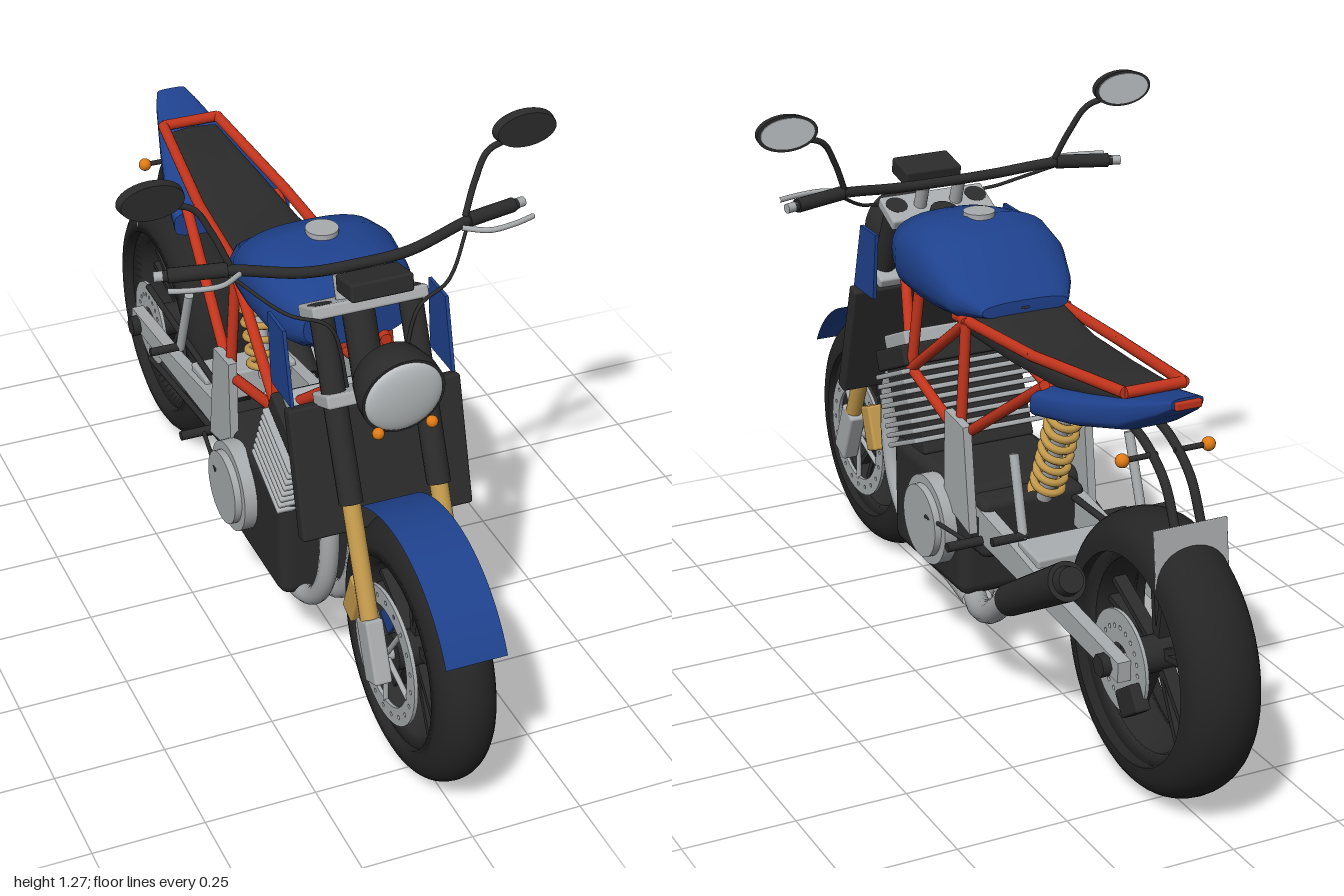
import * as THREE from 'three';
import { toCreasedNormals } from 'three/addons/utils/BufferGeometryUtils.js';
import { RoundedBoxGeometry } from 'three/addons/geometries/RoundedBoxGeometry.js';

const mat = (name, color, side = THREE.FrontSide) => {
  const m = new THREE.MeshStandardMaterial({ color, side });
  m.name = name;
  return m;
};
const V = (x, y, z) => new THREE.Vector3(x, y, z);

export function createModel() {
  const bike = new THREE.Group();
  bike.name = 'motorcycle';
  const black = mat('black', 0x2b2b2b), rubber = mat('rubber', 0x252525), blue = mat('blue paint', 0x1f428e, THREE.DoubleSide);
  const red = mat('red frame', 0xc2341c), grey = mat('light metal', 0xa9acae), gold = mat('gold', 0xc39a4c);
  const orange = mat('orange', 0xe07a14), lens = mat('lens', 0xc2c6c8);

  const add = (name, geo, m, x = 0, y = 0, z = 0, rx = 0, ry = 0, rz = 0, parent = bike) => {
    const mesh = new THREE.Mesh(geo, m);
    mesh.name = name;
    mesh.position.set(x, y, z);
    mesh.rotation.set(rx, ry, rz);
    parent.add(mesh);
    return mesh;
  };
  const box = (name, m, w, h, d, x, y, z, rx = 0, r = 0.006) =>
    add(name, new RoundedBoxGeometry(w, h, d, 2, Math.min(r, w / 3, h / 3, d / 3)), m, x, y, z, rx);
  // Straight rod between two points
  const rod = (name, m, a, b, r, r2 = r, n = 16) => {
    const mesh = add(name, new THREE.CylinderGeometry(r2, r, a.distanceTo(b), n), m);
    mesh.position.copy(a).add(b).multiplyScalar(0.5);
    mesh.quaternion.setFromUnitVectors(V(0, 1, 0), b.clone().sub(a).normalize());
    return mesh;
  };
  // Bent pipe through points
  const pipe = (name, m, pts, r, n = 40) =>
    add(name, new THREE.TubeGeometry(new THREE.CatmullRomCurve3(pts.map(p => V(...p))), n, r, 12), m);
  // Disc or drum whose axis runs along x
  const disc = (name, m, r, w, x, y, z, n = 40) =>
    add(name, new THREE.CylinderGeometry(r, r, w, n), m, x, y, z, 0, 0, Math.PI / 2);
  // Body lofted front to back from sections [z, half width, bottom, top]
  const loft = (name, m, sections, power, crease = 0.6) => {
    const n = 32, pos = [], idx = [];
    const soft = (v) => Math.sign(v) * Math.abs(v) ** power;
    for (const [z, w, y0, y1] of sections) for (let j = 0; j < n; j++) {
      const a = j / n * Math.PI * 2;
      pos.push(w * soft(Math.cos(a)), (y0 + y1) / 2 + (y1 - y0) / 2 * soft(Math.sin(a)), z);
    }
    for (let i = 0; i < sections.length - 1; i++) for (let j = 0; j < n; j++) {
      const a = i * n + j, b = i * n + (j + 1) % n;
      idx.push(a, a + n, b, b, a + n, b + n);
    }
    const g = new THREE.BufferGeometry();
    g.setAttribute('position', new THREE.Float32BufferAttribute(pos, 3));
    g.setIndex(idx);
    return add(name, toCreasedNormals(g, crease), m);
  };
  const sides = (fn) => [1, -1].forEach(fn);
  // Flat plate in the side plane from [z, y] points, centred on x
  const sidePlate = (name, m, pts, t, x) => {
    const s = new THREE.Shape(pts.map(([z, y]) => new THREE.Vector2(-z, y)));
    return add(name, new THREE.ExtrudeGeometry(s, { depth: t, bevelEnabled: false }), m, x - t / 2, 0, 0, 0, Math.PI / 2);
  };
  const brakeDisc = (name, R, r, x, y, z) => {
    const s = new THREE.Shape().absarc(0, 0, R, 0, Math.PI * 2);
    s.holes.push(new THREE.Path().absarc(0, 0, r, 0, Math.PI * 2));
    for (let k = 0; k < 20; k++) {
      const a = k / 20 * Math.PI * 2, c = (R + r) / 2;
      s.holes.push(new THREE.Path().absarc(c * Math.cos(a), c * Math.sin(a), 0.005, 0, Math.PI * 2));
    }
    add(name, new THREE.ExtrudeGeometry(s, { depth: 0.008, bevelEnabled: false, curveSegments: 20 }), grey, x - 0.004, y, z, 0, Math.PI / 2);
  };

  // Wheels
  const wheel = (name, R, w, y, z) => {
    const g = new THREE.Group();
    g.name = name;
    g.position.set(0, y, z);
    bike.add(g);
    const tyre = [], h = w / 2, depth = 0.08;
    for (let i = 0; i <= 16; i++) {
      const a = -Math.PI / 2 + i / 16 * Math.PI;
      tyre.push(new THREE.Vector2(R - depth + depth * Math.cos(a) ** 0.8, h * Math.sin(a)));
    }
    tyre.push(new THREE.Vector2(R - depth, -h));
    add('tyre', new THREE.LatheGeometry(tyre, 64), rubber, 0, 0, 0, 0, 0, Math.PI / 2, g);
    const ri = R - 0.1, ro = R - 0.07, q = h * 0.85;
    const rim = [[ri, -q * 0.6], [ro, -q], [ro, q], [ri, q * 0.6], [ri, -q * 0.6]].map(p => new THREE.Vector2(...p)).reverse();
    add('rim', new THREE.LatheGeometry(rim, 64), mats.rim, 0, 0, 0, 0, 0, Math.PI / 2, g);
    add('hub', new THREE.CylinderGeometry(0.04, 0.04, w * 0.9, 24), black, 0, 0, 0, 0, 0, Math.PI / 2, g);
    for (let k = 0; k < 5; k++) for (const s of [-0.13, 0.13]) {
      const a = k / 5 * Math.PI * 2 + s, mid = (ri + 0.04) / 2;
      add('spoke', new THREE.BoxGeometry(0.03, ri - 0.015, 0.014), black, 0, mid * Math.cos(a), mid * Math.sin(a), a, 0, 0, g);
    }
  };
  const mats = { rim: mat('rim black', 0x2b2b2b, THREE.DoubleSide) };
  wheel('frontWheel', 0.29, 0.135, 0.295, 0.71);
  wheel('rearWheel', 0.308, 0.172, 0.312, -0.692);

  // Front fork; forkZ follows the steering angle
  const forkZ = (y) => 0.71 - 0.456 * (y - 0.3), rake = -0.428;
  sides(s => {
    const p = (y) => V(s * 0.1, y, forkZ(y));
    rod('forkSlider', gold, p(0.34), p(0.61), 0.02);
    rod('forkTube', black, p(0.6), p(0.985), 0.026);
    box('forkFoot', grey, 0.04, 0.14, 0.06, s * 0.1, 0.31, 0.705, rake);
    brakeDisc('frontBrakeDisc', 0.155, 0.115, s * 0.075, 0.295, 0.71);
    box('frontCaliper', gold, 0.04, 0.11, 0.05, s * 0.085, 0.36, 0.585, 0.35);
    box('fenderBracket', blue, 0.012, 0.07, 0.05, s * 0.072, 0.4, 0.72, 0.6);
    for (let k = 0; k < 5; k++) {
      const a = k / 5 * Math.PI * 2 + 0.6;
      rod('discArm', grey, V(s * 0.075, 0.295, 0.71), V(s * 0.075, 0.295 + 0.12 * Math.cos(a), 0.71 + 0.12 * Math.sin(a)), 0.006);
    }
    rod('handlebarRiser', grey, V(s * 0.045, 0.95, 0.4), V(s * 0.045, 1.03, 0.37), 0.015);
    pipe('cable', black, [[s * 0.27, 1.05, 0.32], [s * 0.18, 0.99, 0.42], [s * 0.1, 0.96, 0.45], [s * 0.06, 0.8, 0.46]], 0.004);
  });
  rod('frontAxle', grey, V(-0.11, 0.295, 0.71), V(0.11, 0.295, 0.71), 0.015);
  box('upperClamp', grey, 0.26, 0.028, 0.09, 0, 0.968, 0.395, rake);
  box('lowerClamp', grey, 0.26, 0.03, 0.09, 0, 0.8, 0.475, rake);
  rod('steeringHead', black, V(0, 0.77, 0.44), V(0, 0.97, 0.35), 0.035);

  // Front fender, an open arched sheet
  add('frontFender', new THREE.CylinderGeometry(0.316, 0.316, 0.137, 40, 1, true, -0.45, 1.5), blue, 0, 0.295, 0.71, Math.PI / 3 - Math.PI / 2 - 0.28, 0, 0)
    .rotation.set(0, 0, Math.PI / 2);
  const fender = bike.children[bike.children.length - 1];
  fender.geometry.dispose();
  // In this pose the cylinder angle runs from +z, and -x of the cylinder points down
  fender.geometry = new THREE.CylinderGeometry(0.316, 0.316, 0.137, 40, 1, true, 0.52, 1.6);

  // Headlight and front indicators
  const lamp = new THREE.Group();
  lamp.name = 'headlight';
  lamp.position.set(0, 0.865, 0.555);
  lamp.rotation.x = 0.12;
  bike.add(lamp);
  const shell = [[0, -0.06], [0.05, -0.055], [0.08, -0.03], [0.092, 0.02], [0.092, 0.05], [0, 0.05]].map(p => new THREE.Vector2(...p));
  add('lampShell', toCreasedNormals(new THREE.LatheGeometry(shell, 40), 0.7), black, 0, 0, 0, Math.PI / 2, 0, 0, lamp);
  const dome = add('lampLens', new THREE.SphereGeometry(0.086, 40, 10, 0, Math.PI * 2, 0, Math.PI / 2), lens, 0, 0, 0.05, Math.PI / 2, 0, 0, lamp);
  dome.scale.y = 0.2;
  sides(s => add('frontIndicator', new THREE.SphereGeometry(0.013, 16, 12), orange, s * 0.06, 0.79, 0.615));
  box('instrument', black, 0.14, 0.04, 0.085, 0, 1.043, 0.45, -0.2);

  // Handlebar, levers and mirrors
  pipe('handlebar', black, [[-0.4, 1.055, 0.285], [-0.28, 1.06, 0.315], [-0.12, 1.04, 0.355], [0, 1.037, 0.36], [0.12, 1.04, 0.355], [0.28, 1.06, 0.315], [0.4, 1.055, 0.285]], 0.012);
  sides(s => {
    rod('grip', black, V(s * 0.27, 1.06, 0.317), V(s * 0.39, 1.056, 0.287), 0.016);
    rod('barEnd', grey, V(s * 0.39, 1.056, 0.287), V(s * 0.418, 1.055, 0.28), 0.011);
    pipe('lever', grey, [[s * 0.25, 1.055, 0.335], [s * 0.3, 1.055, 0.365], [s * 0.36, 1.055, 0.36], [s * 0.41, 1.055, 0.345]], 0.006);
    pipe('mirrorStem', black, [[s * 0.265, 1.07, 0.315], [s * 0.295, 1.14, 0.295], [s * 0.33, 1.195, 0.28], [s * 0.4, 1.215, 0.275]], 0.007);
    add('mirrorBody', new THREE.CylinderGeometry(0.068, 0.072, 0.022, 40), black, s * 0.416, 1.23, 0.277, Math.PI / 2).scale.z = 0.57;
    add('mirrorGlass', new THREE.CylinderGeometry(0.064, 0.064, 0.004, 40), lens, s * 0.416, 1.23, 0.265, Math.PI / 2).scale.z = 0.55;
  });

  // Tank, shrouds, seat and tail
  loft('tank', blue, [[0.362, 0.01, 0.9, 0.91], [0.36, 0.12, 0.85, 0.955], [0.33, 0.145, 0.83, 0.985], [0.26, 0.168, 0.812, 1.0], [0.16, 0.176, 0.81, 1.017],
    [0.08, 0.17, 0.815, 0.995], [0.01, 0.15, 0.825, 0.935], [-0.05, 0.115, 0.845, 0.9], [-0.062, 0.105, 0.85, 0.885], [-0.063, 0.01, 0.865, 0.87]], 0.75);
  add('fuelCap', new THREE.CylinderGeometry(0.036, 0.036, 0.012, 32), grey, 0, 1.017, 0.17);
  sides(s => sidePlate('shroud', blue, [[0.41, 0.945], [0.325, 0.945], [0.345, 0.785], [0.455, 0.785]], 0.008, s * 0.183));
  loft('seat', black, [[-0.02, 0.01, 0.82, 0.83], [-0.02, 0.115, 0.795, 0.86], [-0.2, 0.1, 0.79, 0.842], [-0.4, 0.09, 0.8, 0.85], [-0.62, 0.062, 0.84, 0.875], [-0.635, 0.01, 0.86, 0.87]], 0.45);
  loft('tailCowl', blue, [[-0.365, 0.01, 0.77, 0.78], [-0.365, 0.143, 0.737, 0.806], [-0.5, 0.118, 0.76, 0.835], [-0.63, 0.082, 0.795, 0.868], [-0.74, 0.05, 0.86, 0.898], [-0.772, 0.036, 0.885, 0.908], [-0.772, 0.01, 0.895, 0.9]], 0.5);
  box('tailLight', red, 0.06, 0.018, 0.012, 0, 0.894, -0.775);

  // Trellis frame
  sides(s => {
    const tube = (a, b) => rod('frameTube', red, V(s * a[0], a[1], a[2]), V(s * b[0], b[1], b[2]), 0.0125);
    const top = [0.125, 0.837, -0.02], knee = [0.135, 0.64, 0.25], low = [0.14, 0.57, -0.02], tail = [0.068, 0.883, -0.64];
    const mid = [0.105, 0.853, -0.3];
    tube([0.12, 0.835, 0.04], mid);
    tube(mid, tail);
    tube([0.06, 0.85, 0.38], top);
    tube([0.07, 0.79, 0.42], knee);
    tube([0.125, 0.83, 0.225], knee);
    tube(knee, top);
    tube(knee, low);
    tube(low, top);
    tube(low, [0.11, 0.81, -0.37]);
  });
  rod('frameCrossTube', red, V(-0.068, 0.883, -0.64), V(0.068, 0.883, -0.64), 0.0125);

  // Engine
  box('radiator', black, 0.39, 0.29, 0.035, 0, 0.64, 0.49, -0.3);
  box('crankcase', black, 0.31, 0.27, 0.38, 0, 0.32, 0.135, 0, 0.03);
  box('gearbox', black, 0.26, 0.14, 0.1, 0, 0.37, -0.06, 0, 0.02);
  const lean = 0.42, along = (d) => [0.5 + d * Math.cos(lean), 0.265 + d * Math.sin(lean)];
  const block = (name, m, w, h, dep, d) => box(name, m, w, h, dep, 0, ...along(d), lean);
  block('cylinderBlock', black, 0.28, 0.22, 0.14, 0.03);
  for (let k = 0; k < 8; k++) block('coolingFin', grey, 0.33, 0.012, 0.17, -0.045 + k * 0.023);
  block('cylinderHead', black, 0.31, 0.05, 0.17, 0.153);
  block('headCover', grey, 0.27, 0.035, 0.13, 0.192);
  sides(s => {
    disc('engineCover', grey, 0.105, 0.04, s * 0.165, 0.34, 0.075);
    disc('engineCoverCap', grey, 0.085, 0.022, s * 0.19, 0.34, 0.075);
    sidePlate('framePlate', grey, [[0.02, 0.625], [-0.075, 0.615], [-0.105, 0.37], [0.03, 0.4]], 0.02, s * 0.15);
    rod('riderPeg', black, V(s * 0.14, 0.36, -0.125), V(s * 0.225, 0.36, -0.125), 0.011);
    rod('footLever', black, V(s * 0.2, 0.365, 0.04), V(s * 0.17, 0.36, -0.12), 0.005);
    rod('passengerPeg', black, V(s * 0.14, 0.46, -0.34), V(s * 0.22, 0.46, -0.34), 0.01);
    rod('passengerPegHanger', grey, V(s * 0.14, 0.63, -0.285), V(s * 0.145, 0.455, -0.34), 0.011);
  });

  // Exhaust
  for (const x of [-0.1, -0.035, 0.035, 0.1])
    pipe('exhaustHeader', grey, [[x, 0.56, 0.36], [x, 0.565, 0.42], [x, 0.5, 0.455], [x, 0.32, 0.445], [x, 0.22, 0.375], [x, 0.178, 0.27], [x * 0.8 + 0.02, 0.17, 0.12], [0.1 + x * 0.2, 0.17, -0.03]], 0.022, 50);
  pipe('exhaustLinkPipe', grey, [[0.1, 0.17, 0.0], [0.125, 0.175, -0.08], [0.15, 0.215, -0.19], [0.165, 0.3, -0.31], [0.168, 0.33, -0.37]], 0.027);
  rod('muffler', black, V(0.167, 0.305, -0.32), V(0.17, 0.465, -0.59), 0.036, 0.043, 32);
  rod('mufflerTip', black, V(0.17, 0.46, -0.58), V(0.17, 0.477, -0.61), 0.034, 0.028, 32);

  // Swingarm, rear brake and chain drive
  sides(s => {
    sidePlate('swingarm', grey, [[-0.02, 0.43], [-0.2, 0.405], [-0.45, 0.365], [-0.74, 0.335], [-0.74, 0.29], [-0.5, 0.31], [-0.2, 0.335], [-0.02, 0.35]], 0.03, s * 0.115);
    disc('axleNut', black, 0.025, 0.03, s * 0.135, 0.312, -0.692, 6);
  });
  box('swingarmBridge', grey, 0.23, 0.07, 0.1, 0, 0.37, -0.3, -0.1);
  rod('rearAxle', grey, V(-0.13, 0.312, -0.692), V(0.13, 0.312, -0.692), 0.014);
  brakeDisc('rearBrakeDisc', 0.112, 0.04, 0.096, 0.312, -0.692);
  box('rearCaliper', black, 0.035, 0.06, 0.08, 0.105, 0.255, -0.76, 0.6);
  brakeDisc('rearSprocket', 0.105, 0.04, -0.096, 0.312, -0.692);
  for (const [y0, y1] of [[0.41, 0.417], [0.3, 0.207]]) rod('chainRun', black, V(-0.1, y0, 0), V(-0.1, y1, -0.692), 0.008, 0.008, 8);

  // Rear shock with coil spring
  const hi = V(0, 0.75, -0.28), lo = V(0, 0.45, -0.155);
  rod('shockBody', grey, lo, hi, 0.018);
  rod('shockTop', grey, lo.clone().lerp(hi, 0.84), hi, 0.036);
  const coil = [], axis = hi.clone().sub(lo), out = V(0, -axis.z, axis.y).normalize();
  for (let i = 0; i <= 112; i++) {
    const t = i / 112, a = t * 8 * Math.PI * 2;
    coil.push(lo.clone().addScaledVector(axis, 0.06 + t * 0.8).addScaledVector(out, 0.034 * Math.sin(a)).add(V(0.034 * Math.cos(a), 0, 0)));
  }
  add('shockSpring', new THREE.TubeGeometry(new THREE.CatmullRomCurve3(coil), 240, 0.009, 8), gold);

  // Plate carrier and rear indicators
  sides(s => {
    pipe('plateStay', black, [[s * 0.03, 0.8, -0.57], [s * 0.03, 0.775, -0.66], [s * 0.03, 0.72, -0.74], [s * 0.03, 0.63, -0.79]], 0.01);
    rod('indicatorStem', black, V(s * 0.02, 0.76, -0.69), V(s * 0.1, 0.76, -0.69), 0.006);
    add('rearIndicator', new THREE.SphereGeometry(0.015, 16, 12), orange, s * 0.1, 0.76, -0.69);
  });
  box('numberPlate', grey, 0.17, 0.125, 0.006, 0, 0.582, -0.802, 0.12, 0.002);
  return bike;
}
